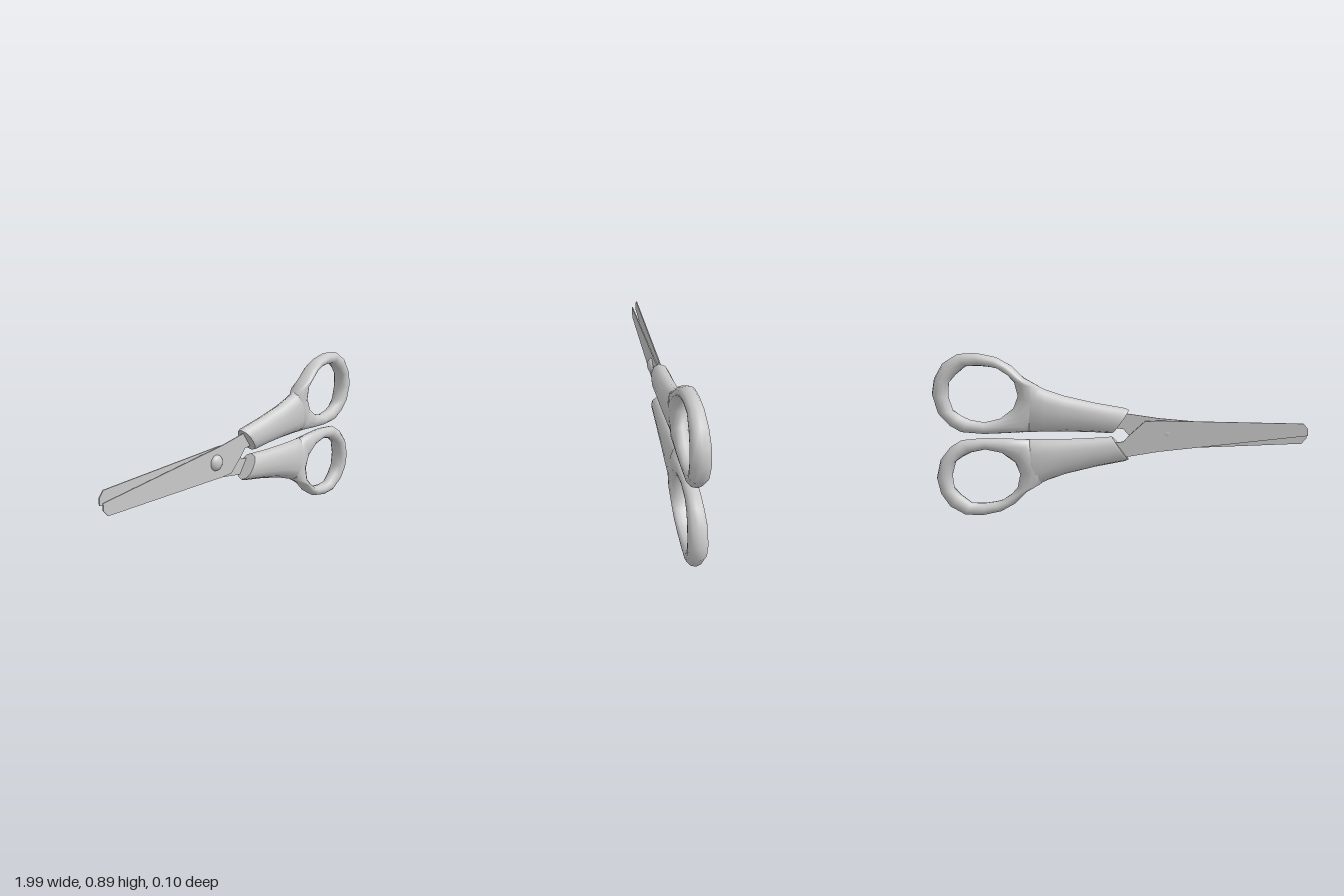
import * as THREE from 'three';

const material = new THREE.MeshStandardMaterial({ color: 0xcccccc });
const MID_Y = 0.446; // the two halves mirror about this height

// Rounded section between two edge points: [position across, share of half thickness]
const HALF = [[0, 0], [0.09, 0.62], [0.28, 0.94], [0.5, 1], [0.72, 0.94], [0.91, 0.62], [1, 0]];
const SECTION = [...HALF, ...HALF.slice(1, -1).reverse().map(([t, w]) => [t, -w])];

// Joins sections given as [edge A x, y, edge B x, y, half thickness]
function loft(stations, closed) {
  const n = SECTION.length, m = stations.length, pos = [], index = [];
  const addRing = ([ax, ay, bx, by, h]) => {
    for (const [t, w] of SECTION) pos.push(ax + (bx - ax) * t, ay + (by - ay) * t, h * w);
  };
  stations.forEach(addRing);
  for (let i = 0; i < (closed ? m : m - 1); i++) {
    for (let j = 0; j < n; j++) {
      const k = (j + 1) % n, p = i * n, q = ((i + 1) % m) * n;
      index.push(p + j, p + k, q + k, p + j, q + k, q + j);
    }
  }
  if (!closed) {
    // separate cap vertices keep the end edges crisp
    addRing(stations[0]);
    addRing(stations[m - 1]);
    for (let j = 1; j < n - 1; j++) {
      const p = m * n, q = p + n;
      index.push(p, p + j + 1, p + j, q, q + j, q + j + 1);
    }
  }
  const g = new THREE.BufferGeometry();
  g.setAttribute('position', new THREE.Float32BufferAttribute(pos, 3));
  g.setIndex(index);
  g.computeVertexNormals();
  return g;
}

function mesh(name, geometry) {
  const m = new THREE.Mesh(geometry, material);
  m.name = name;
  return m;
}

// Tapering grip, top edge to bottom edge, from the slanted front end to the finger loop
const GRIP = [
  [-0.04, 0.582, 0.05, 0.456, 0.046],
  [-0.02, 0.592, 0.06, 0.456, 0.05],
  [0.14, 0.622, 0.17, 0.463, 0.05],
  [0.30, 0.66, 0.31, 0.467, 0.05],
  [0.40, 0.695, 0.41, 0.467, 0.05],
  [0.47, 0.728, 0.475, 0.466, 0.047],
  [0.505, 0.752, 0.51, 0.465, 0.038],
  [0.525, 0.77, 0.53, 0.464, 0.018],
];

// Finger loop, outer edge to hole edge, clockwise from the grip side
const LOOP = [
  [0.40, 0.61, 0.545, 0.66, 0.046],
  [0.43, 0.71, 0.562, 0.735, 0.045],
  [0.505, 0.752, 0.60, 0.778, 0.044],
  [0.57, 0.82, 0.65, 0.81, 0.041],
  [0.65, 0.867, 0.685, 0.816, 0.038],
  [0.757, 0.89, 0.74, 0.822, 0.036],
  [0.85, 0.884, 0.81, 0.82, 0.037],
  [0.93, 0.835, 0.864, 0.775, 0.042],
  [0.976, 0.757, 0.90, 0.735, 0.046],
  [0.992, 0.675, 0.907, 0.66, 0.047],
  [0.967, 0.575, 0.885, 0.585, 0.045],
  [0.91, 0.505, 0.845, 0.557, 0.04],
  [0.85, 0.468, 0.80, 0.535, 0.037],
  [0.73, 0.457, 0.725, 0.52, 0.036],
  [0.61, 0.461, 0.64, 0.54, 0.039],
  [0.49, 0.467, 0.57, 0.595, 0.044],
];

// Blade outline with its shank running into the grip
const BLADE = [
  [-1, 0.455], [-1, 0.418], [-0.975, 0.388], [-0.2, 0.365], [-0.125, 0.368],
  [-0.04, 0.445], [-0.01, 0.478], [0.1, 0.49], [0.12, 0.585], [-0.04, 0.56], [-0.2, 0.535],
];

function blade() {
  const shape = new THREE.Shape(BLADE.map(([x, y]) => new THREE.Vector2(x, y)));
  return new THREE.ExtrudeGeometry(shape, { depth: 0.006, bevelEnabled: false });
}

export function createModel() {
  const group = new THREE.Group();
  group.name = 'scissors';

  // Two mirrored halves, each a blade with its handle
  for (const side of [1, -1]) {
    const half = new THREE.Group();
    half.name = side > 0 ? 'upperHandleHalf' : 'lowerHandleHalf';
    const bladeMesh = mesh(side > 0 ? 'frontBlade' : 'backBlade', blade());
    bladeMesh.position.z = side > 0 ? -0.003 : -0.027;
    half.add(mesh('grip', loft(GRIP, false)), mesh('fingerLoop', loft(LOOP, true)), bladeMesh);
    if (side < 0) {
      half.scale.y = -1;
      half.position.y = 2 * MID_Y;
    }
    group.add(half);
  }

  // Domed pivot rivet
  const rivet = mesh('pivotRivet', new THREE.SphereGeometry(0.043, 16, 10));
  rivet.geometry.rotateX(Math.PI / 2);
  rivet.scale.z = 0.66;
  rivet.position.set(-0.245, 0.455, 0);
  group.add(rivet);

  return group;
}
